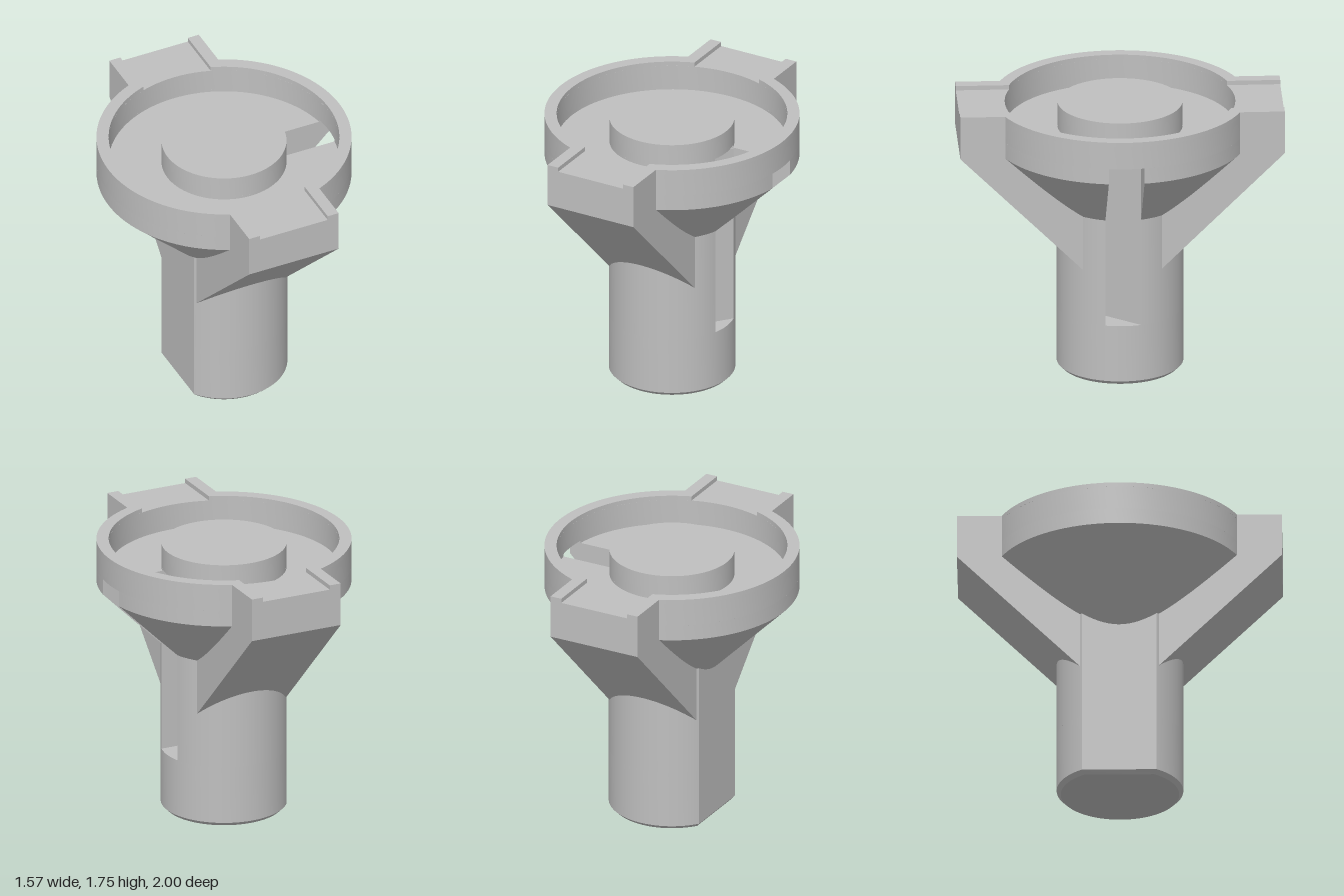
import * as THREE from 'three';
import { toCreasedNormals } from 'three/addons/utils/BufferGeometryUtils.js';

const SHAFT_R = 0.39, FLAT_X = -0.315, SLOT = 0.11, SLOT_X = 0.2;
const CUP_R = 0.785, BORE_R = 0.71, BOSS_R = 0.385;
const FLOOR = 1.565, SLOT_TOP = 1.58, LEDGE = 1.727, TOP = 1.755;
const WING_X = 0.305, NOTCH_X = 0.23;

export function createModel() {
  const model = new THREE.Group();
  const grey = new THREE.MeshStandardMaterial({ color: 0xbfbfbf, side: THREE.DoubleSide });

  const add = (name, geometry) => {
    const mesh = new THREE.Mesh(toCreasedNormals(geometry, 0.5), grey);
    mesh.name = name;
    model.add(mesh);
    return mesh;
  };

  // Plan shape (x, z) raised from y0 to y1
  const raise = (shape, y0, y1) =>
    new THREE.ExtrudeGeometry(shape, { depth: y1 - y0, bevelEnabled: false, curveSegments: 64 })
      .rotateX(-Math.PI / 2).translate(0, y0, 0);

  // Turned profile [r, y]; optionally left open along the parallel-sided slot on +x
  const turn = (profile, slotted) => {
    const g = new THREE.LatheGeometry(profile.map(([r, y]) => new THREE.Vector2(r, y)), 96);
    const p = g.attributes.position, uv = g.attributes.uv;
    for (let i = 0; i < p.count; i++) {
      const r = Math.hypot(p.getX(i), p.getZ(i));
      const gap = slotted ? Math.asin(SLOT / r) : 0;
      const a = gap + uv.getX(i) * (2 * Math.PI - 2 * gap);
      p.setX(i, r * Math.cos(a));
      p.setZ(i, -r * Math.sin(a));
    }
    return g;
  };

  // Shaft: D section, chamfered foot, slot open on +x
  const flatA = Math.acos(FLAT_X / SHAFT_R), slotA = Math.asin(SLOT / SHAFT_R);
  const dShape = new THREE.Shape();
  dShape.absarc(0, 0, SHAFT_R, -flatA, flatA);
  const slotShape = new THREE.Shape();
  slotShape.moveTo(SLOT_X, SLOT);
  slotShape.absarc(0, 0, SHAFT_R, slotA, flatA);
  slotShape.absarc(0, 0, SHAFT_R, 2 * Math.PI - flatA, 2 * Math.PI - slotA);
  slotShape.lineTo(SLOT_X, -SLOT);

  const foot = raise(dShape, 0, 0.025);
  const fp = foot.attributes.position;
  for (let i = 0; i < fp.count; i++) {
    if (fp.getY(i) < 0.01) fp.setXYZ(i, fp.getX(i) * 0.935, 0, fp.getZ(i) * 0.935);
  }
  add('shaftChamfer', foot);
  add('shaftBase', raise(dShape, 0.025, 0.39));
  add('slottedShaft', raise(slotShape, 0.39, 1.56));

  // Cup: cone and lower wall, recess floor, full rim ring and centre boss
  add('cupCone', turn([[0.3, 0.995], [0.39, 1.085], [0.52, 1.215], [0.65, 1.345],
    [CUP_R, 1.48], [CUP_R, SLOT_TOP]], true));
  add('recessFloor', turn([[BORE_R, SLOT_TOP], [BORE_R, FLOOR], [0.55, FLOOR],
    [BOSS_R, FLOOR], [BOSS_R, SLOT_TOP]], true));
  add('rimRing', turn([[BORE_R, SLOT_TOP], [CUP_R, SLOT_TOP], [CUP_R, LEDGE],
    [BORE_R, LEDGE], [BORE_R, SLOT_TOP]]));
  add('centreBoss', turn([[0, SLOT_TOP], [BOSS_R, SLOT_TOP], [BOSS_R, LEDGE], [0, LEDGE]]));

  // Slot cheeks through the cup
  const atSlot = (r, y) => new THREE.Vector2(Math.sqrt(r * r - SLOT * SLOT), y);
  const cheek = new THREE.Shape([
    new THREE.Vector2(SLOT_X, 0.995), atSlot(0.3, 0.995), atSlot(0.39, 1.085), atSlot(0.52, 1.215),
    atSlot(CUP_R, 1.48), atSlot(CUP_R, SLOT_TOP), atSlot(BORE_R, SLOT_TOP), atSlot(BORE_R, FLOOR),
    atSlot(BOSS_R, FLOOR), atSlot(BOSS_R, SLOT_TOP), new THREE.Vector2(SLOT_X, SLOT_TOP),
  ]);
  for (const s of [-1, 1]) {
    const mesh = add('slotCheek', new THREE.ShapeGeometry(cheek));
    mesh.position.z = s * SLOT;
    mesh.scale.z = -s;
  }

  // Upper rim halves with wing cheeks, leaving the shallow notch between them
  const inA = Math.acos(NOTCH_X / BORE_R), outA = Math.acos(WING_X / CUP_R);
  const half = new THREE.Shape();
  half.moveTo(NOTCH_X, -1);
  half.lineTo(WING_X, -1);
  half.absarc(0, 0, CUP_R, -outA, outA);
  half.lineTo(WING_X, 1);
  half.lineTo(NOTCH_X, 1);
  half.absarc(0, 0, BORE_R, inA, -inA, true);
  for (const turnY of [0, Math.PI]) {
    add('upperRim', raise(half, LEDGE, TOP)).rotation.y = turnY;
  }

  // Front and back wings sloping down into the shaft
  const wing = new THREE.Shape([[0.235, 0.725], [1, 1.48], [1, LEDGE], [0.715, LEDGE],
    [0.715, 1.55], [0.235, 1.55]].map(([z, y]) => new THREE.Vector2(z, y)));
  for (const turnY of [0, Math.PI]) {
    const g = new THREE.ExtrudeGeometry(wing, { depth: 2 * WING_X, bevelEnabled: false })
      .rotateY(-Math.PI / 2).translate(WING_X, 0, 0);
    add(turnY ? 'backWing' : 'frontWing', g).rotation.y = turnY;
  }

  return model;
}
